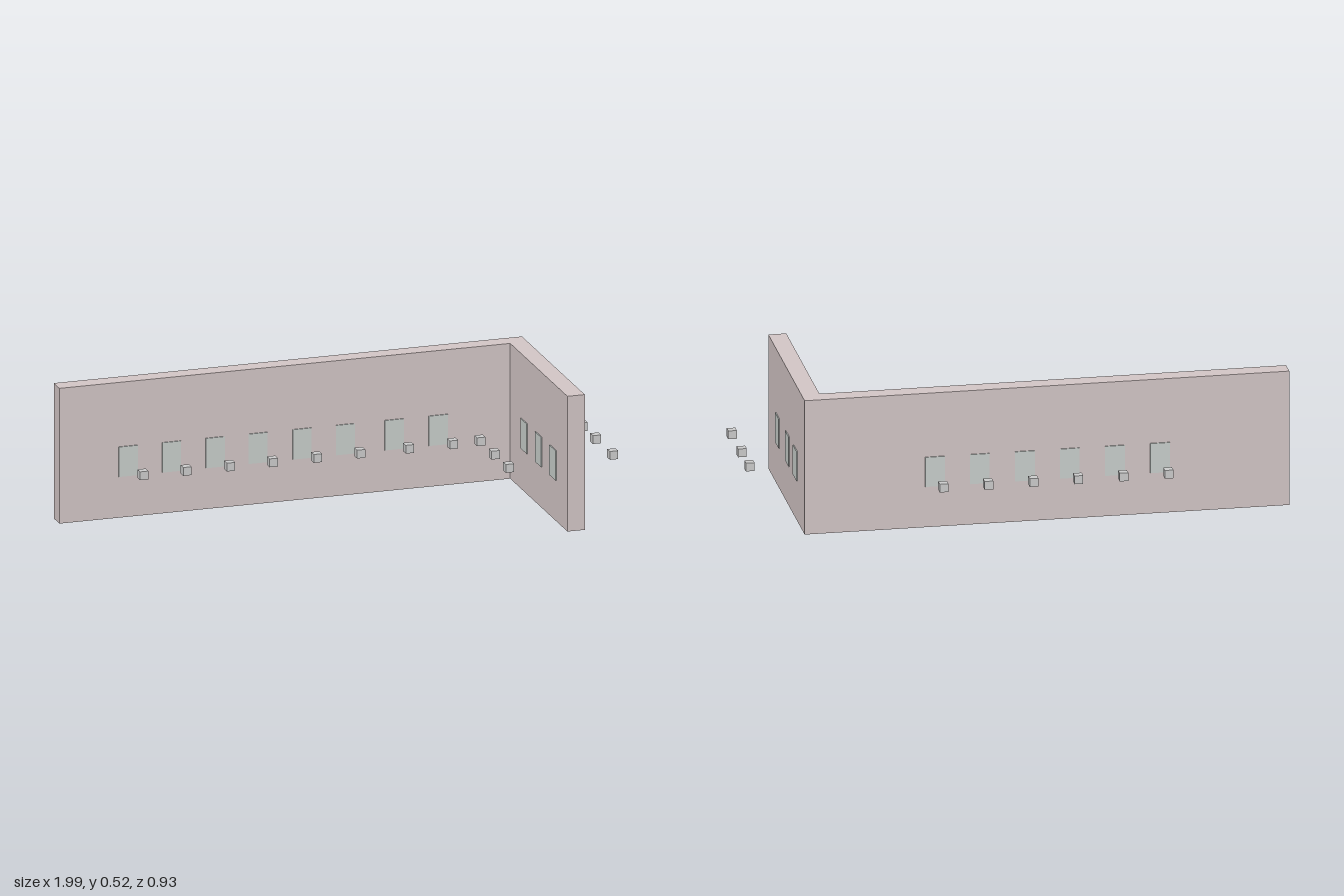
import * as THREE from 'three';

export function createModel() {
  const model = new THREE.Group();
  const wallMat = new THREE.MeshStandardMaterial({ color: 0xd2c5c5 });
  const panelMat = new THREE.MeshStandardMaterial({ color: 0xc8cecb });
  const cubeMat = new THREE.MeshStandardMaterial({ color: 0xcccccc });

  // L-shaped wall: plan outline (x, -z) extruded upwards
  const back = -0.274, inner = -0.208, left = 0.805, innerX = 0.738, front = 0.464;
  const plan = new THREE.Shape([
    [-1, -back], [-1, -inner], [innerX, -inner], [innerX, -front], [left, -front], [left, -back],
  ].map(([x, y]) => new THREE.Vector2(x, y)));
  const wallGeo = new THREE.ExtrudeGeometry(plan, { depth: 0.52, bevelEnabled: false });
  wallGeo.rotateX(-Math.PI / 2);
  const wall = new THREE.Mesh(wallGeo, wallMat);
  wall.name = 'cornerWall';
  model.add(wall);

  // Each station is a thin panel on a wall face with a small cube floating in front of it
  const panelGeo = new THREE.BoxGeometry(0.073, 0.115, 0.008);
  const cubeGeo = new THREE.BoxGeometry(0.032, 0.032, 0.032);
  const y = 0.215, reach = 0.172;

  function addStation(name, x, z, angle) {
    const station = new THREE.Group();
    station.name = name;
    const panel = new THREE.Mesh(panelGeo, panelMat);
    panel.name = 'panel';
    const cube = new THREE.Mesh(cubeGeo, cubeMat);
    cube.name = 'floatingCube';
    cube.position.z = reach;
    station.add(panel, cube);
    station.position.set(x, y, z);
    station.rotation.y = angle;
    model.add(station);
  }

  // Long wall, front and back faces
  [-0.735, -0.568, -0.4, -0.235, -0.065, 0.102, 0.29, 0.46]
    .forEach((x) => addStation('frontStation', x, inner, 0));
  [-0.518, -0.35, -0.182, -0.015, 0.153, 0.32]
    .forEach((x) => addStation('backStation', x, back, Math.PI));

  // Short wall, inner and outer faces
  [-0.04, 0.13, 0.298].forEach((z) => addStation('innerStation', innerX, z, -Math.PI / 2));
  [-0.091, 0.067, 0.268].forEach((z) => addStation('outerStation', left, z, Math.PI / 2));

  return model;
}
